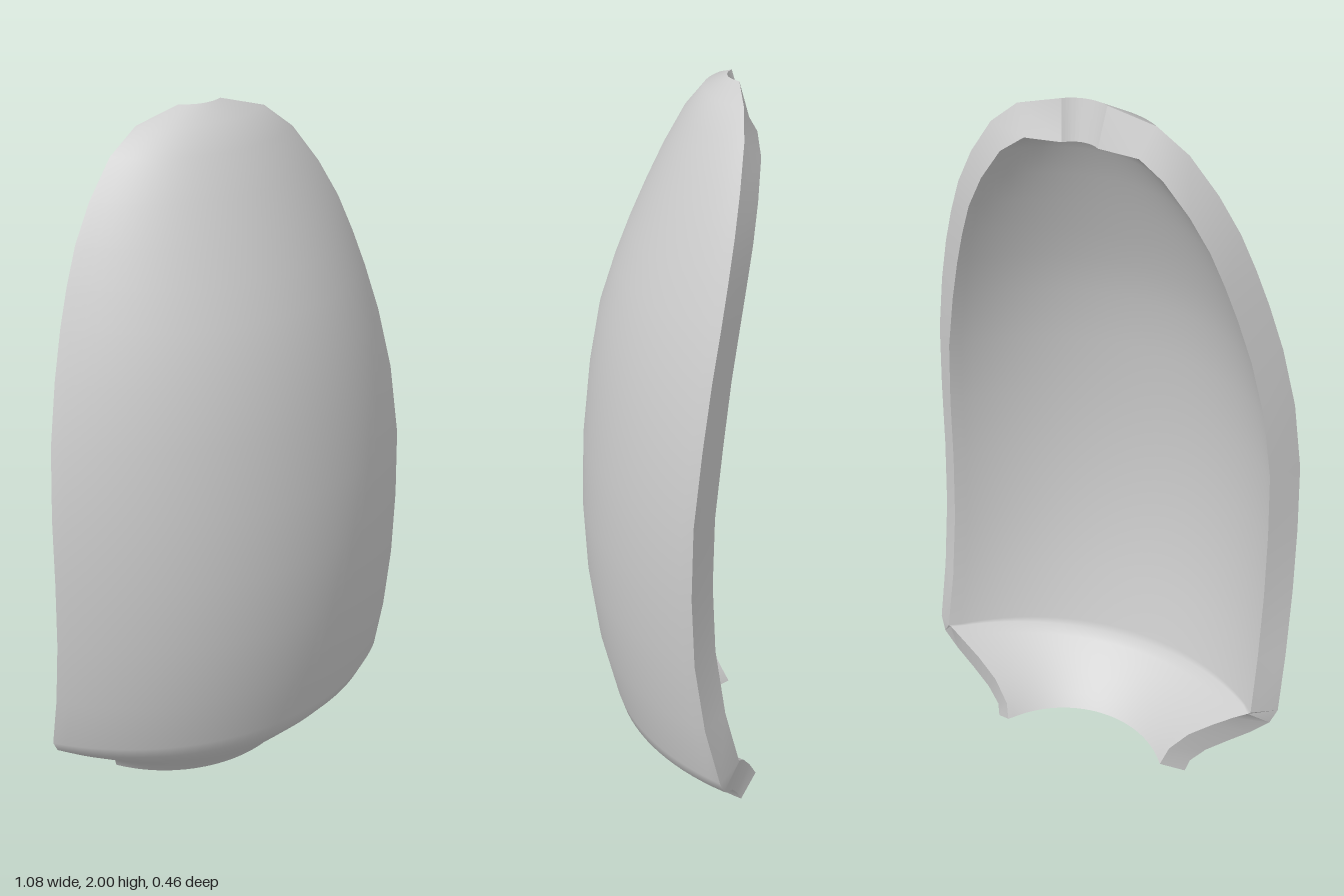
import * as THREE from 'three';
import { toCreasedNormals } from 'three/addons/utils/BufferGeometryUtils.js';

// Cross-sections from bottom to top: [y, half width, z at the middle, z at the edges]
const SECTIONS = [
  [0, 0.3, -0.04, -0.18], [0.03, 0.31, -0.015, -0.165], [0.07, 0.35, 0.025, -0.147],
  [0.11, 0.41, 0.063, -0.127], [0.15, 0.47, 0.1, -0.11], [0.19, 0.52, 0.13, -0.094],
  [0.23, 0.538, 0.143, -0.08], [0.4, 0.538, 0.186, -0.038], [0.6, 0.538, 0.215, -0.009],
  [0.8, 0.538, 0.226, 0], [1, 0.536, 0.22, -0.004], [1.2, 0.519, 0.2, -0.027],
  [1.37, 0.488, 0.171, -0.054], [1.5, 0.455, 0.13, -0.08], [1.6, 0.424, 0.092, -0.1],
  [1.7, 0.387, 0.049, -0.12], [1.8, 0.335, 0.003, -0.14], [1.9, 0.265, -0.05, -0.16],
  [1.965, 0.185, -0.1, -0.172], [2, 0.06, -0.16, -0.18],
];
const COLS = 32;
const ROWS = SECTIONS.length;
const THICKNESS = 0.088;

// Each section is a circular arc through both edges and the middle
function arcPoint([y, w, mid, edge], t) {
  const sag = mid - edge;
  const r = (w * w + sag * sag) / (2 * sag);
  const a = t * Math.asin(w / r);
  return new THREE.Vector3(r * Math.sin(a), y, mid - r + r * Math.cos(a));
}

function meshGeometry(points, index) {
  const g = new THREE.BufferGeometry().setFromPoints(points);
  g.setIndex(index);
  g.computeVertexNormals();
  return g;
}

export function createModel() {
  const group = new THREE.Group();
  group.name = 'curvedShell';
  const material = new THREE.MeshStandardMaterial({ color: 0xcccccc });
  const add = (name, geometry) => {
    const mesh = new THREE.Mesh(geometry, material);
    mesh.name = name;
    group.add(mesh);
  };
  const id = (i, j) => i * (COLS + 1) + j;

  // Outer face
  const outer = [];
  for (const s of SECTIONS)
    for (let j = 0; j <= COLS; j++) outer.push(arcPoint(s, (2 * j) / COLS - 1));
  const front = [];
  for (let i = 0; i < ROWS - 1; i++)
    for (let j = 0; j < COLS; j++) {
      const a = id(i, j), b = id(i, j + 1), c = id(i + 1, j + 1), d = id(i + 1, j);
      front.push(a, b, c, a, c, d);
    }
  const outerGeometry = meshGeometry(outer, front);
  add('outerFace', outerGeometry);

  // Inner face: the outer one moved inwards along its normals
  const normals = outerGeometry.attributes.normal;
  const inner = outer.map((p, k) => {
    if (k >= id(ROWS - 1, 0)) return new THREE.Vector3(p.x * 0.8, p.y - 0.1, p.z - 0.03);
    const n = new THREE.Vector3().fromBufferAttribute(normals, k);
    return p.clone().addScaledVector(n, -THICKNESS);
  });
  add('innerFace', meshGeometry(inner, front.slice().reverse()));

  // Rim joining both faces around the outline
  const loop = [];
  for (let j = 0; j < COLS; j++) loop.push(id(0, j));
  for (let i = 0; i < ROWS - 1; i++) loop.push(id(i, COLS));
  for (let j = COLS; j > 0; j--) loop.push(id(ROWS - 1, j));
  for (let i = ROWS - 1; i > 0; i--) loop.push(id(i, 0));
  const rimPoints = [], rimIndex = [];
  loop.forEach((k, n) => {
    rimPoints.push(outer[k], inner[k]);
    const m = (n + 1) % loop.length;
    rimIndex.push(2 * n, 2 * n + 1, 2 * m + 1, 2 * n, 2 * m + 1, 2 * m);
  });
  add('rim', toCreasedNormals(meshGeometry(rimPoints, rimIndex), 0.5));

  return group;
}
